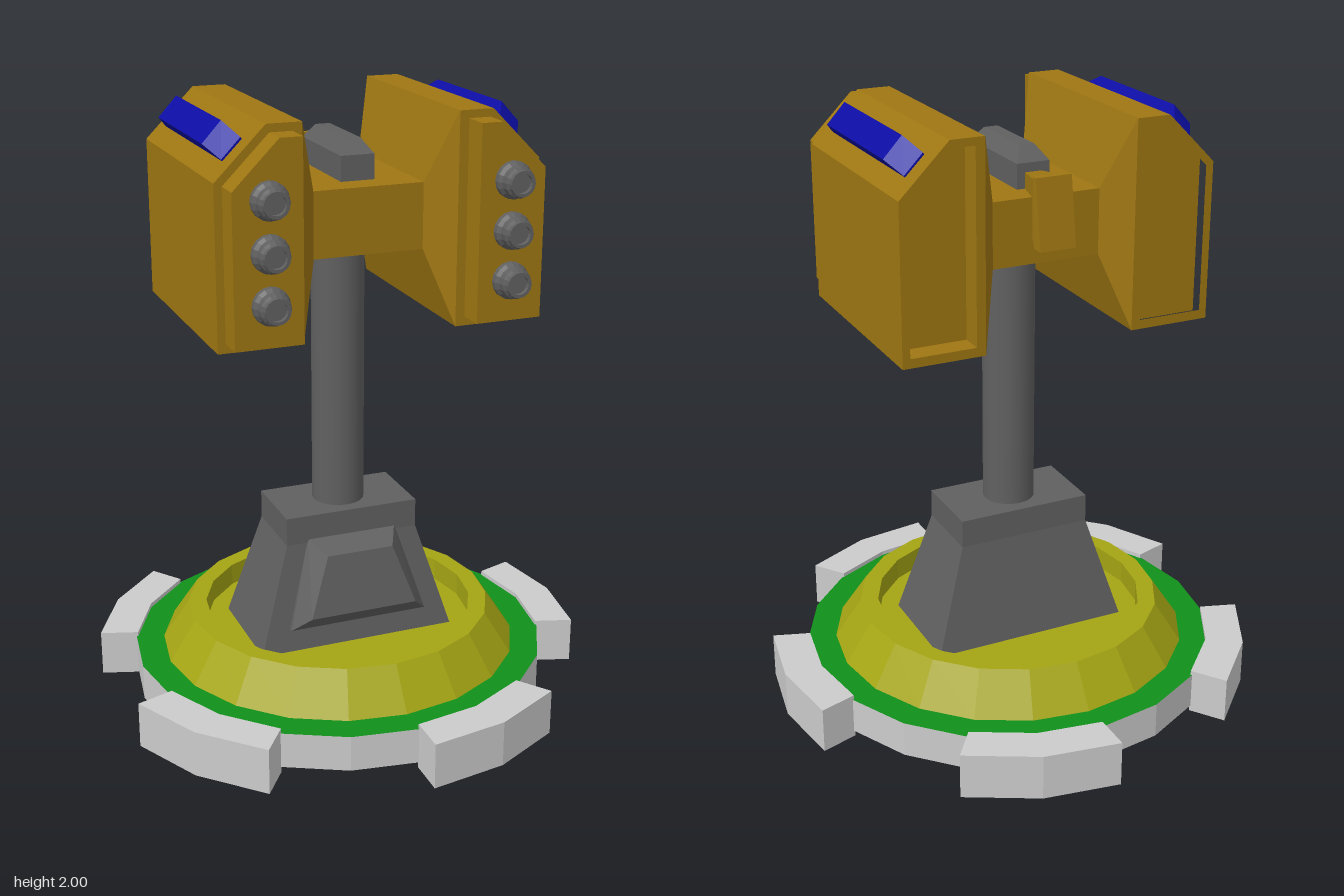
import * as THREE from 'three';
import { ConvexGeometry } from 'three/addons/geometries/ConvexGeometry.js';

const material = (color, flatShading = true) =>
  new THREE.MeshStandardMaterial({ color, flatShading });
const LIGHT = material(0xcccccc), DARK = material(0x606060), DARK_SMOOTH = material(0x606060, false);
const GREEN = material(0x10901a), YELLOW = material(0xa5a514), ORANGE = material(0x9e7612), BLUE = material(0x0d0da5);

function add(parent, name, geometry, mat) {
  const mesh = new THREE.Mesh(geometry, mat);
  mesh.name = name;
  parent.add(mesh);
  return mesh;
}

const lathe = (pts, sides = 20) =>
  new THREE.LatheGeometry(pts.map(([r, y]) => new THREE.Vector2(r, y)), sides);

const hull = pts => new ConvexGeometry(pts.map(p => new THREE.Vector3(...p)));

// Four corners of a level rectangle, half sizes hx and hz
const level = (y, hx, hz) => [[-hx, y, -hz], [hx, y, -hz], [hx, y, hz], [-hx, y, hz]];

// Straight prism along z between z0 and z1, with an optional hole
function prism(outline, z0, z1, hole) {
  const toV = ([x, y]) => new THREE.Vector2(x, y);
  const shape = new THREE.Shape(outline.map(toV));
  if (hole) shape.holes.push(new THREE.Path(hole.map(toV)));
  return new THREE.ExtrudeGeometry(shape, { depth: z1 - z0, bevelEnabled: false }).translate(0, 0, z0);
}

function buildBase() {
  const base = new THREE.Group();
  base.name = 'base';
  add(base, 'baseDisc', lathe([[0, 0], [0.6, 0], [0.7, 0.02], [0.7, 0.14]]), LIGHT);
  add(base, 'greenRing', lathe([[0.7, 0.14], [0.6, 0.14]]), GREEN);
  add(base, 'turntable', lathe([[0.605, 0.14], [0.515, 0.275], [0.455, 0.275], [0.455, 0.2], [0, 0.2]]), YELLOW);

  // Five teeth, each two facets of the disc wide
  const ring = (r, a) => new THREE.Vector2(r * Math.cos(a), r * Math.sin(a));
  const step = Math.PI / 10;
  const tooth = new THREE.ExtrudeGeometry(new THREE.Shape([
    ring(0.823, -step), ring(0.823, 0), ring(0.823, step),
    ring(0.695, step), ring(0.695, 0), ring(0.695, -step),
  ]), { depth: 0.155, bevelEnabled: false }).rotateX(-Math.PI / 2);
  for (let i = 0; i < 5; i++) add(base, 'tooth', tooth, LIGHT).rotation.y = i * Math.PI * 0.4;
  return base;
}

function buildPedestal() {
  const pedestal = new THREE.Group();
  pedestal.name = 'pedestal';
  add(pedestal, 'pedestalTop', hull([...level(0.56, 0.23, 0.13), ...level(0.655, 0.23, 0.13)]), DARK);
  add(pedestal, 'pedestalSkirt', hull([...level(0.2, 0.34, 0.188), ...level(0.56, 0.23, 0.13)]), DARK);
  // Raised trapezoid panel on the front slope
  add(pedestal, 'frontPanel', hull([
    [-0.155, 0.573, 0.125], [0.155, 0.573, 0.125], [0.24, 0.275, 0.17], [-0.24, 0.275, 0.17],
    [-0.115, 0.535, 0.207], [0.115, 0.535, 0.207], [0.185, 0.335, 0.245], [-0.185, 0.335, 0.245],
    [-0.24, 0.28, 0.195], [0.24, 0.28, 0.195],
  ]), DARK);
  const column = add(pedestal, 'column', new THREE.CylinderGeometry(0.087, 0.087, 0.95, 20, 1, true), DARK_SMOOTH);
  column.position.y = 1.12;
  return pedestal;
}

function buildPod(s) {
  const pod = new THREE.Group();
  pod.name = s > 0 ? 'leftPod' : 'rightPod';
  const side = pts => pts.map(([x, ...rest]) => [s * x, ...rest]);
  const outline = side([[0.25, 1.33], [0.52, 1.33], [0.52, 1.84], [0.36, 2], [0.25, 2]]);
  const inset = side([[0.28, 1.36], [0.495, 1.36], [0.495, 1.83], [0.35, 1.975], [0.28, 1.975]]);

  // Body with a recessed back and a raised front plate
  add(pod, 'podBody', prism(outline, -0.29, 0.366), ORANGE);
  add(pod, 'podBackFrame', prism(outline, -0.366, -0.29, inset), ORANGE);
  add(pod, 'podFrontPlate', prism(inset, 0.36, 0.455), ORANGE);

  // Tapered joint to the middle block
  const joint = [];
  for (const z of [-1, 1]) {
    joint.push([0.18, 1.56, z * 0.265], [0.18, 1.77, z * 0.265], [0.25, 1.33, z * 0.366], [0.25, 2, z * 0.366]);
  }
  add(pod, 'podJoint', hull(side(joint)), ORANGE);

  // Blue bar on the sloping shoulder, narrowing outwards at its ends
  const bar = [];
  for (const z of [-1, 1]) {
    bar.push([0.408, 1.945, z * 0.3], [0.468, 1.885, z * 0.3], [0.452, 1.995, z * 0.235], [0.512, 1.93, z * 0.235]);
    bar.push([0.415, 1.955, z * 0.3], [0.475, 1.893, z * 0.3]);
  }
  add(pod, 'shoulderBar', hull(side(bar)), BLUE);

  // Three stubby stepped barrels
  const barrel = lathe([[0.058, 0], [0.058, 0.02], [0.048, 0.03], [0.048, 0.055], [0.04, 0.06],
    [0.04, 0.075], [0.03, 0.075], [0.03, 0.06], [0, 0.06]], 16).rotateX(Math.PI / 2);
  for (const y of [1.49, 1.645, 1.8]) {
    add(pod, 'barrel', barrel, DARK).position.set(s * 0.385, y, 0.453);
  }
  return pod;
}

function buildHead() {
  const head = new THREE.Group();
  head.name = 'head';
  add(head, 'middleBlock', hull([...level(1.56, 0.18, 0.265), ...level(1.77, 0.18, 0.265)]), ORANGE);
  // Ridge on top
  add(head, 'topRidge', hull([
    ...level(1.77, 0.055, 0.172), ...level(1.85, 0.055, 0.172), ...level(1.895, 0.024, 0.13),
  ]), DARK);
  // Leaning plate behind, with a neck narrowing towards the ridge
  const plate = [], neck = [];
  for (const s of [-1, 1]) {
    plate.push([s * 0.06, 1.84, -0.29], [s * 0.06, 1.84, -0.31], [s * 0.06, 1.62, -0.345], [s * 0.06, 1.62, -0.3]);
    neck.push([s * 0.058, 1.83, -0.3], [s * 0.058, 1.63, -0.3], [s * 0.025, 1.82, -0.16], [s * 0.025, 1.68, -0.16]);
  }
  add(head, 'rearPlate', hull(plate), ORANGE);
  add(head, 'rearNeck', hull(neck), ORANGE);
  head.add(buildPod(1), buildPod(-1));
  return head;
}

export function createModel() {
  const model = new THREE.Group();
  model.name = 'turret';
  model.add(buildBase(), buildPedestal(), buildHead());
  model.position.x = -0.02;
  return model;
}
